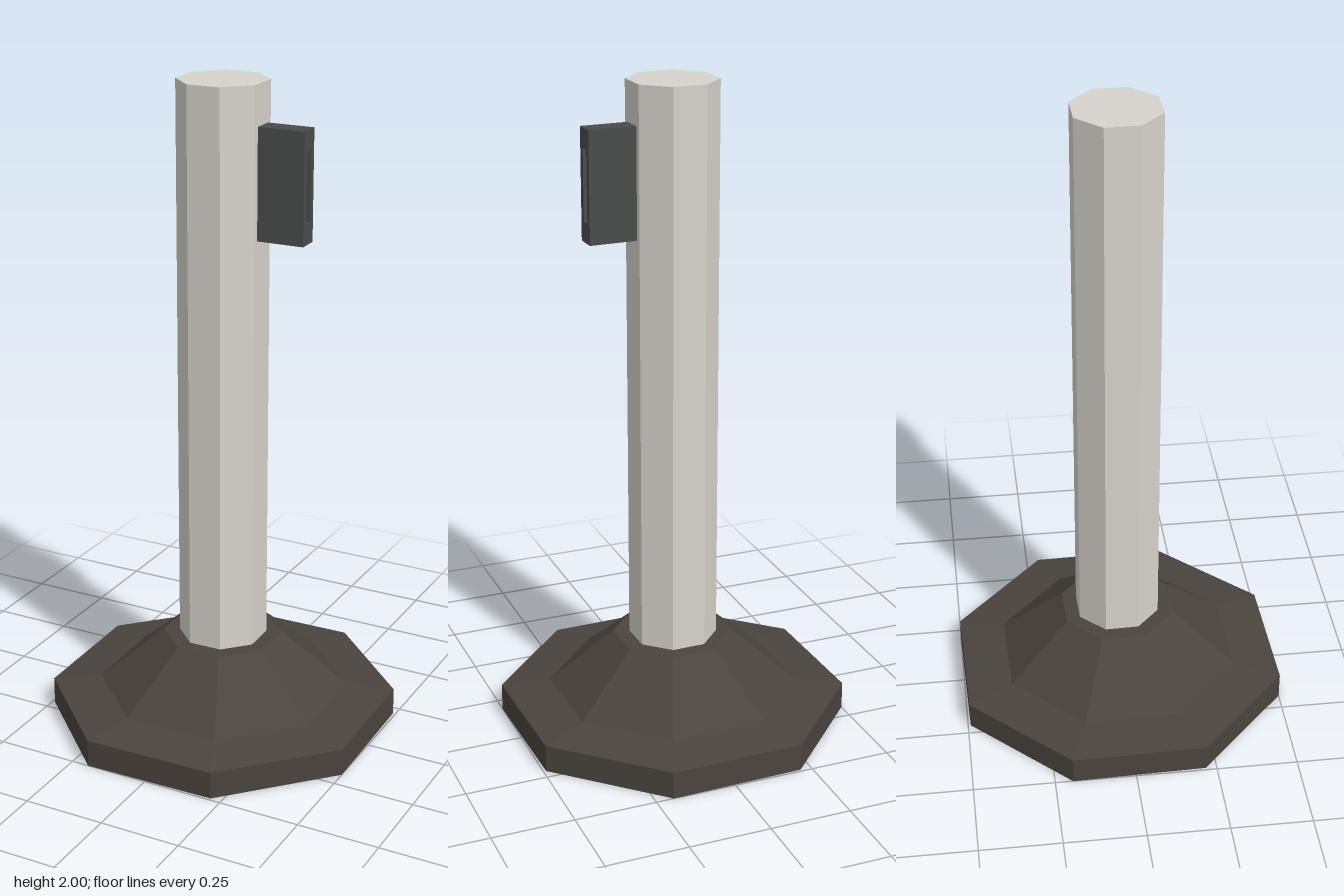
import * as THREE from 'three';

export function createModel() {
  const model = new THREE.Group();
  model.name = 'barrierPost';
  model.rotation.y = 0.021; // slight twist of the whole post

  const add = (name, geometry, color) => {
    const mesh = new THREE.Mesh(
      geometry,
      new THREE.MeshStandardMaterial({ color, flatShading: true })
    );
    mesh.name = name;
    model.add(mesh);
    return mesh;
  };

  // Octagonal stepped foot
  const profile = [
    [0, 0], [0.537, 0], [0.537, 0.085], [0.385, 0.105], [0.184, 0.275], [0, 0.275],
  ].map(([r, y]) => new THREE.Vector2(r, y));
  add('base', new THREE.LatheGeometry(profile, 8, Math.PI / 8), 0x4a443e);

  // Octagonal pole
  const pole = new THREE.CylinderGeometry(0.135, 0.135, 1.73, 8, 1, false, Math.PI / 8);
  add('pole', pole, 0xd6d3cb).position.set(-0.001, 1.135, -0.002);

  // Side housing with a slot running through to the pole
  const rect = (Type, w, y0, y1) => new Type([
    new THREE.Vector2(-w, y0), new THREE.Vector2(w, y0),
    new THREE.Vector2(w, y1), new THREE.Vector2(-w, y1),
  ]);
  const face = rect(THREE.Shape, 0.033, 1.55, 1.88);
  face.holes.push(rect(THREE.Path, 0.014, 1.61, 1.82));
  const housing = new THREE.ExtrudeGeometry(face, { depth: 0.147, bevelEnabled: false });
  housing.rotateY(Math.PI / 2);
  add('slottedHousing', housing, 0x4a4b4c).position.set(0.12, 0, -0.002);

  const root = new THREE.Group();
  root.add(model);
  return root;
}
